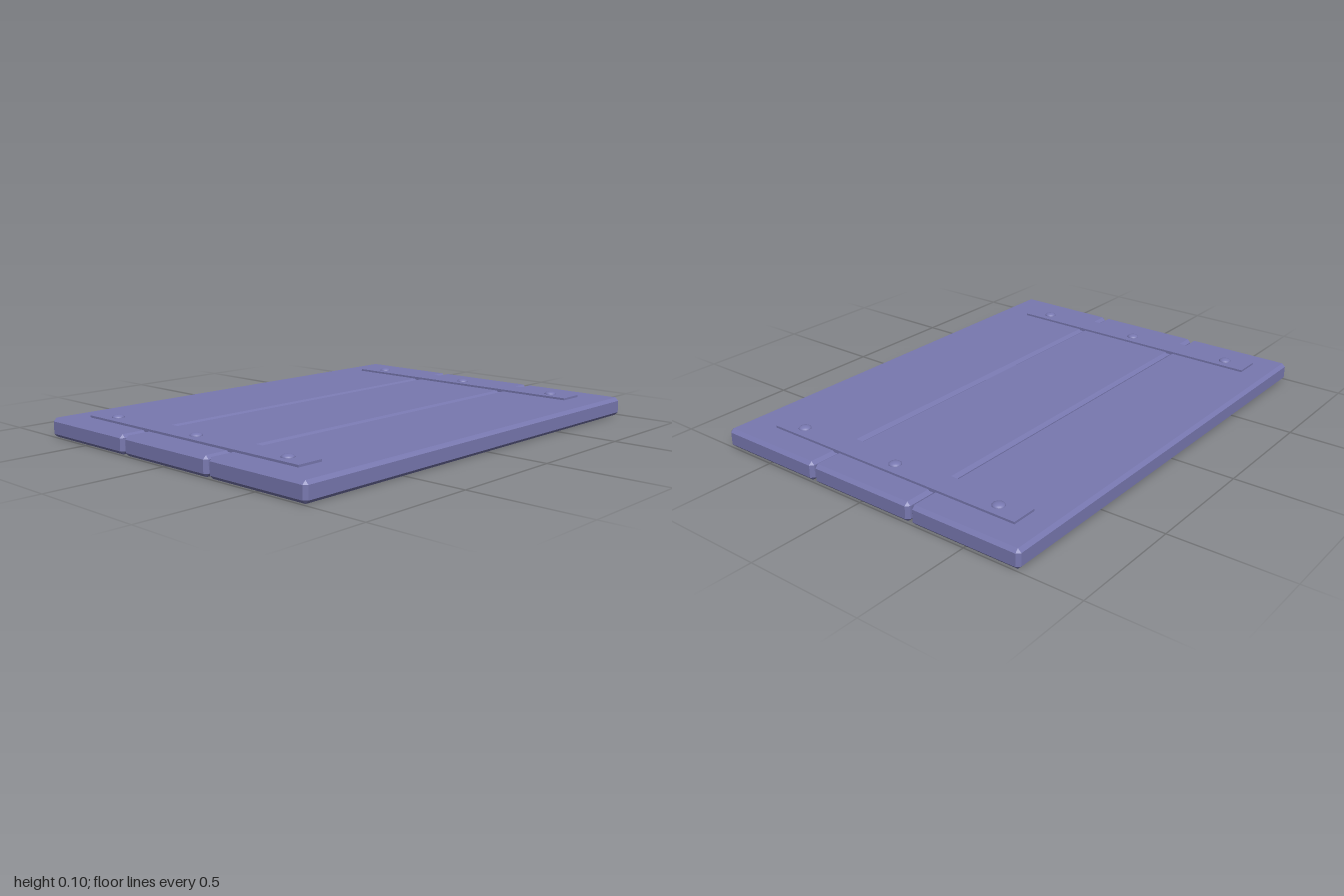
import * as THREE from 'three';
import { ConvexGeometry } from 'three/addons/geometries/ConvexGeometry.js';

// Box with every edge cut by a flat chamfer c
function chamferBox(w, h, d, c) {
  const half = [w / 2, h / 2, d / 2];
  const points = [];
  for (const sx of [-1, 1]) for (const sy of [-1, 1]) for (const sz of [-1, 1]) {
    for (let face = 0; face < 3; face++) {
      const p = [sx, sy, sz].map((s, i) => s * (half[i] - (i === face ? 0 : c)));
      points.push(new THREE.Vector3(...p));
    }
  }
  return new ConvexGeometry(points);
}

export function createModel() {
  const model = new THREE.Group();
  model.name = 'plankPanel';
  const color = 0x7878b0;
  const flat = new THREE.MeshStandardMaterial({ color, flatShading: true });
  const smooth = new THREE.MeshStandardMaterial({ color });

  const add = (name, geometry, material, x, y, z) => {
    const mesh = new THREE.Mesh(geometry, material);
    mesh.name = name;
    mesh.position.set(x, y, z);
    model.add(mesh);
  };

  // Three long planks side by side
  const plank = chamferBox(0.488, 0.08, 2, 0.014);
  ['rightPlank', 'middlePlank', 'leftPlank'].forEach((name, i) =>
    add(name, plank, flat, (i - 1) * 0.496, 0.04, 0));

  // Two thin straps, each held by three domed rivets
  const strap = new THREE.BoxGeometry(1.22, 0.014, 0.112);
  const rivet = new THREE.SphereGeometry(0.026, 20, 6, 0, Math.PI * 2, 0, Math.PI / 2);
  rivet.scale(1, 0.45, 1);
  for (const [side, z] of [['front', 0.833], ['back', -0.82]]) {
    add(side + 'Strap', strap, flat, -0.015, 0.082, z);
    for (const x of [-0.511, -0.012, 0.486]) add(side + 'Rivet', rivet, smooth, x, 0.0885, z);
  }
  return model;
}
